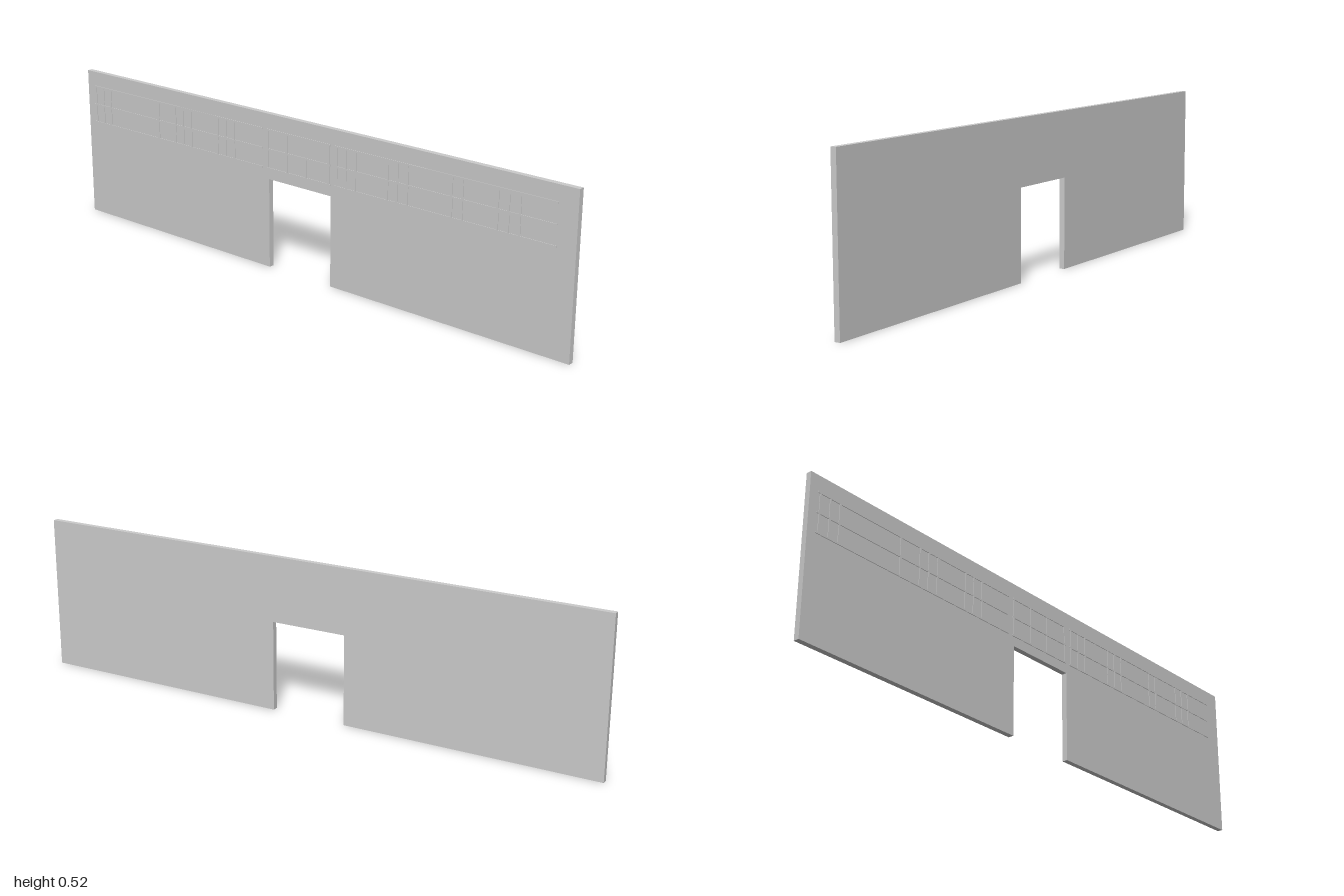
import * as THREE from 'three';

const material = new THREE.MeshStandardMaterial({ color: 0xcccccc, flatShading: true });
const BACK = -0.01, FACE = 0.0085, RELIEF = 0.0105;

// Raised strip on the front face, given by its edges
function strip(name, x0, x1, y0, y1) {
  const geometry = new THREE.BoxGeometry(x1 - x0, y1 - y0, RELIEF - FACE);
  geometry.translate((x0 + x1) / 2, (y0 + y1) / 2, (FACE + RELIEF) / 2);
  const mesh = new THREE.Mesh(geometry, material);
  mesh.name = name;
  return mesh;
}

export function createModel() {
  const model = new THREE.Group();
  model.name = 'wallWithDoorway';

  // Thin wall with a doorway cut up from the bottom edge
  const outline = new THREE.Shape([
    [-1, 0], [-0.137, 0], [-0.137, 0.302], [0.122, 0.302],
    [0.122, 0], [1, 0], [1, 0.52], [-1, 0.52],
  ].map(([x, y]) => new THREE.Vector2(x, y)));
  const wallGeometry = new THREE.ExtrudeGeometry(outline, { depth: FACE - BACK, bevelEnabled: false });
  wallGeometry.translate(0, 0, BACK);
  const wall = new THREE.Mesh(wallGeometry, material);
  wall.name = 'wall';
  model.add(wall);

  // Lattice sections: horizontal extent and the upright positions
  const sections = [
    { name: 'rightLattice', from: -0.97, to: -0.165,
      uprights: [-0.96, -0.922, -0.885, -0.643, -0.562, -0.525, -0.487, -0.364, -0.327, -0.289] },
    { name: 'centreLattice', from: -0.145, to: 0.12, uprights: [-0.14, -0.058, 0.022, 0.113] },
    { name: 'leftLattice', from: 0.138, to: 0.937,
      uprights: [0.145, 0.183, 0.22, 0.344, 0.381, 0.419, 0.58, 0.617, 0.74, 0.777, 0.815] },
  ];
  const rails = [0.338, 0.402, 0.467];
  const half = 0.003;
  for (const { name, from, to, uprights } of sections) {
    const lattice = new THREE.Group();
    lattice.name = name;
    for (const y of rails) lattice.add(strip('rail', from, to, y - half, y + half));
    // Uprights fill both rows between the rails
    for (const x of uprights)
      for (let row = 0; row < 2; row++)
        lattice.add(strip('upright', x - half, x + half, rails[row] + half, rails[row + 1] - half));
    model.add(lattice);
  }
  return model;
}
